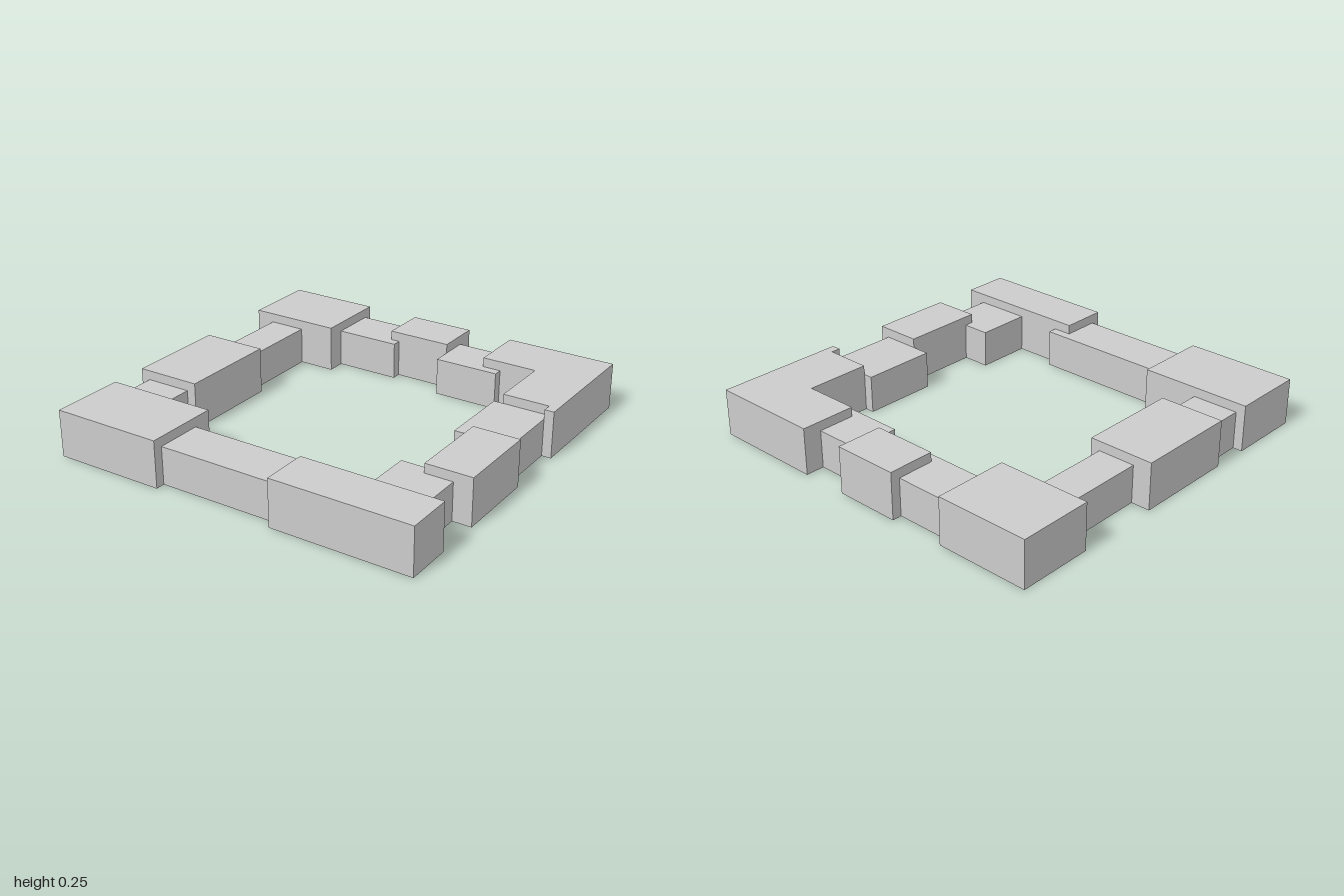
import * as THREE from 'three';

const LOW = 0.2, TALL = 0.25;

// rectangular footprint as a loop of [x, z] corners
const rect = (x0, x1, z0, z1) => [[x0, z0], [x1, z0], [x1, z1], [x0, z1]];

export function createModel() {
  const group = new THREE.Group();
  const material = new THREE.MeshStandardMaterial({ color: 0xcccccc, flatShading: true });

  // raise a footprint from the ground to the given height
  const raise = (name, height, corners) => {
    const shape = new THREE.Shape(corners.map(([x, z]) => new THREE.Vector2(x, -z)));
    const geometry = new THREE.ExtrudeGeometry(shape, { depth: height, bevelEnabled: false });
    geometry.rotateX(-Math.PI / 2);
    const mesh = new THREE.Mesh(geometry, material);
    mesh.name = name;
    group.add(mesh);
  };

  // corner blocks
  raise('backRightCorner', TALL, rect(-1, -0.5, -1, -0.6));
  raise('frontRightCorner', TALL, rect(-1, -0.4, 0.6, 1));
  raise('frontLeftCorner', TALL, rect(0.25, 1, 0.75, 1));
  // L-shaped corner, its arm notched around the lower wall
  raise('backLeftCorner', TALL, [[0.4, -1], [1, -1], [1, -0.3], [0.95, -0.3],
    [0.95, -0.35], [0.7, -0.35], [0.7, -0.7], [0.4, -0.7]]);

  // tall blocks along the sides
  raise('backTower', TALL, rect(-0.2, 0.15, -1, -0.75));
  raise('rightTower', TALL, rect(-1, -0.65, -0.15, 0.4));
  raise('leftTower', TALL, rect(0.75, 1, 0.05, 0.5));

  // lower connecting walls, stepped where they lap past a tall block
  raise('backRightWall', LOW, [[-0.5, -0.95], [-0.2, -0.95], [-0.2, -0.75],
    [-0.15, -0.75], [-0.15, -0.7], [-0.5, -0.7]]);
  raise('backLeftWall', LOW, [[0.15, -0.9], [0.4, -0.9], [0.4, -0.7],
    [0.5, -0.7], [0.5, -0.65], [0.15, -0.65]]);
  raise('frontWall', LOW, [[-0.4, 0.7], [0.35, 0.7], [0.35, 0.75],
    [0.25, 0.75], [0.25, 0.95], [-0.4, 0.95]]);
  raise('leftFrontWall', LOW, [[0.6, 0.45], [0.75, 0.45], [0.75, 0.5],
    [0.9, 0.5], [0.9, 0.75], [0.6, 0.75]]);
  raise('leftBackWall', LOW, rect(0.65, 0.95, -0.35, 0.05));
  raise('rightBackWall', LOW, rect(-0.9, -0.7, -0.6, -0.15));
  raise('rightFrontWall', LOW, rect(-0.95, -0.7, 0.4, 0.6));

  return group;
}
